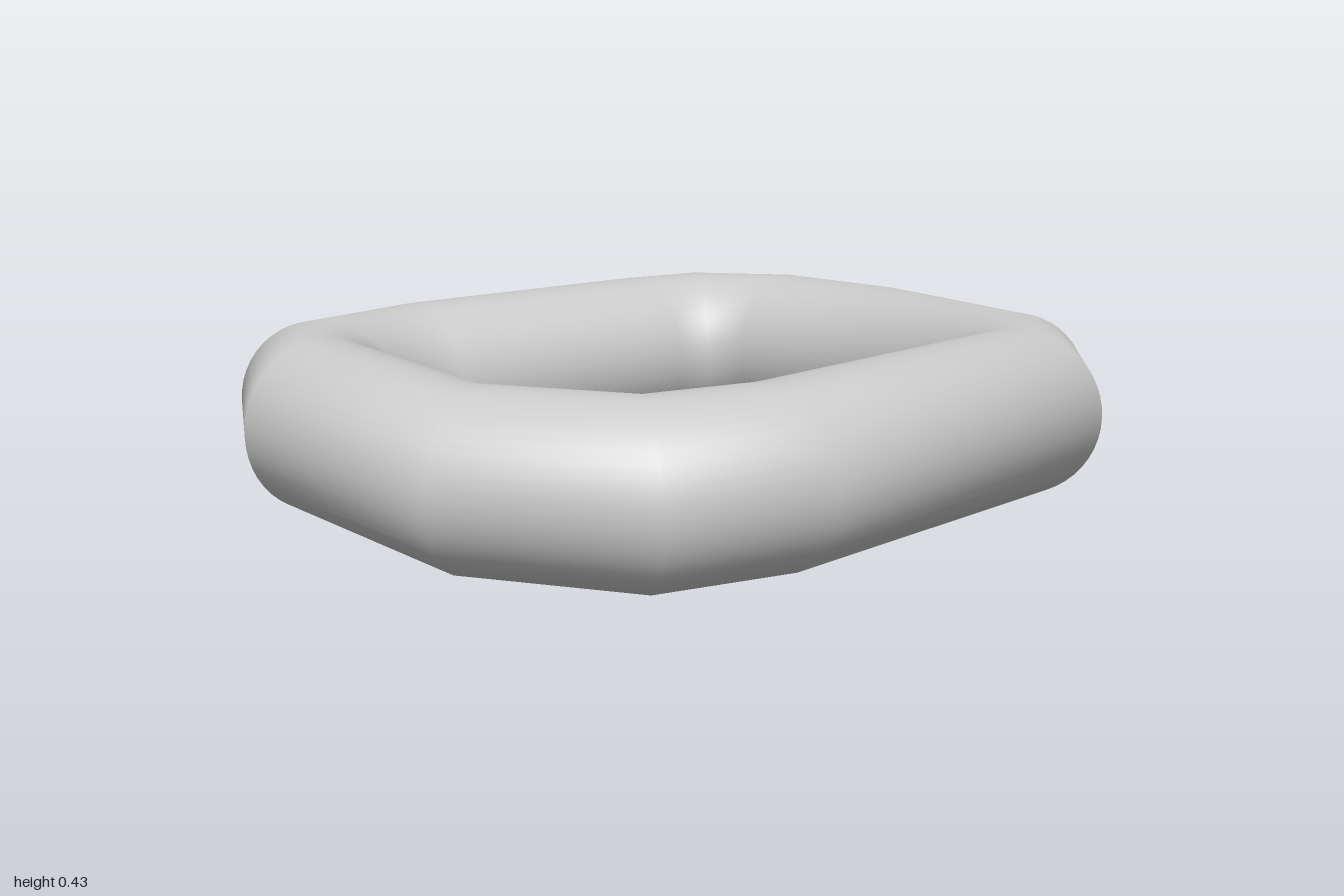
import * as THREE from 'three';

// Each cross-section of the ring: outer x, z, inner x, z, centre height
const SECTIONS = [
  [-0.81, -0.77, -0.52, -0.47, 0.222],
  [-0.33, -0.89, -0.33, -0.48, 0.222],
  [0.38, -0.865, 0.38, -0.455, 0.222],
  [0.68, -0.80, 0.47, -0.445, 0.222],
  [0.945, -0.475, 0.54, -0.385, 0.222],
  [0.998, -0.09, 0.58, -0.10, 0.222],
  [0.915, 0.53, 0.555, 0.33, 0.222],
  [0.68, 0.765, 0.47, 0.405, 0.222],
  [-0.33, 0.885, -0.33, 0.47, 0.222],
  [-0.725, 0.79, -0.52, 0.43, 0.222],
  [-0.985, 0.33, -0.62, 0.12, 0.209],
  [-1.0, -0.40, -0.585, -0.40, 0.222],
];
const SIDES = 48;
const RADIUS = 0.208;

// Joins upright circular sections into one closed, smooth tube
function closedTube(sections) {
  const positions = [], normals = [], indices = [];
  const n = sections.length;
  sections.forEach(([ox, oz, ix, iz, cy], i) => {
    const cx = (ox + ix) / 2, cz = (oz + iz) / 2;
    const rx = (ox - ix) / 2, rz = (oz - iz) / 2;
    const r = Math.hypot(rx, rz);
    for (let j = 0; j < SIDES; j++) {
      const a = (j / SIDES) * Math.PI * 2;
      const c = Math.cos(a), s = Math.sin(a);
      positions.push(cx + rx * c, cy + RADIUS * s, cz + rz * c);
      normals.push((rx / r) * c, s, (rz / r) * c);
      const i2 = (i + 1) % n, j2 = (j + 1) % SIDES;
      const p = i * SIDES + j, q = i * SIDES + j2;
      const t = i2 * SIDES + j, u = i2 * SIDES + j2;
      indices.push(p, q, t, q, u, t);
    }
  });
  const geometry = new THREE.BufferGeometry();
  geometry.setAttribute('position', new THREE.Float32BufferAttribute(positions, 3));
  geometry.setAttribute('normal', new THREE.Float32BufferAttribute(normals, 3));
  geometry.setIndex(indices);
  return geometry;
}

export function createModel() {
  const group = new THREE.Group();
  group.name = 'ringModel';

  // Rounded-square tube ring
  const ring = new THREE.Mesh(
    closedTube(SECTIONS),
    new THREE.MeshStandardMaterial({ color: 0xcccccc })
  );
  ring.name = 'tubeRing';
  group.add(ring);
  return group;
}
